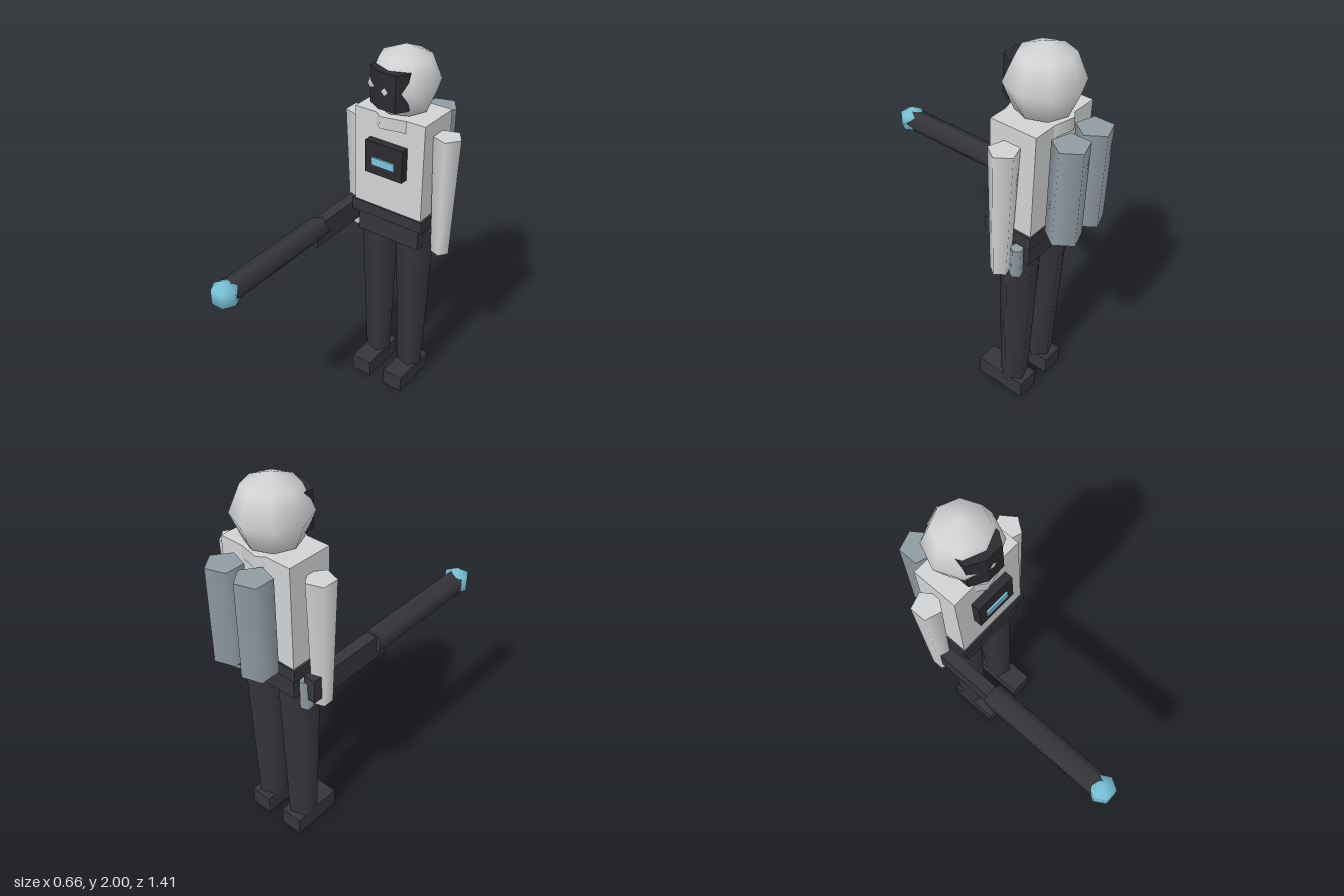
import * as THREE from 'three';

const CX = -0.005, CZ = -0.406;
const material = (name, color) => Object.assign(new THREE.MeshStandardMaterial({ color }), { name });

export function createModel() {
  const root = new THREE.Group();
  root.name = 'armouredFigure';
  const light = material('paleGrey', 0xd0d2d3);
  const steel = material('steelGrey', 0x8f9aa2);
  const dark = material('charcoal', 0x36353b);
  const black = material('nearBlack', 0x2b2b30);
  const glow = material('glowBlue', 0x78c3d9);

  const add = (name, geo, mat, x, y, z) => {
    const mesh = new THREE.Mesh(geo, mat);
    mesh.name = name;
    mesh.position.set(CX + x, y, z);
    root.add(mesh);
    return mesh;
  };
  // box from its vertical and depth limits
  const box = (name, mat, x, w, y0, y1, z0, z1) =>
    add(name, new THREE.BoxGeometry(w, y1 - y0, z1 - z0), mat, x, (y0 + y1) / 2, (z0 + z1) / 2);
  // few-sided column with one corner towards +x
  const column = (name, mat, x, z, rTop, rBottom, y0, y1, sides = 5) =>
    add(name, new THREE.CylinderGeometry(rTop, rBottom, y1 - y0, sides, 1, false, Math.PI / 2),
      mat, x, (y0 + y1) / 2, z);

  // torso, belt and hips
  box('torso', light, 0, 0.406, 1.155, 1.68, -0.526, -0.285);
  box('belt', dark, 0, 0.43, 1.09, 1.155, -0.534, -0.277);
  box('hips', dark, 0, 0.37, 0.965, 1.09, -0.512, -0.298);
  column('collar', light, 0, -0.402, 0.153, 0.153, 1.617, 1.68, 7);

  // chest panel with a lit display
  box('chestPanel', black, 0, 0.22, 1.365, 1.54, -0.29, -0.241);
  box('chestDisplay', glow, 0, 0.135, 1.418, 1.46, -0.241, -0.232);

  // head and visor
  add('head', new THREE.SphereGeometry(0.182, 8, 4), light, 0, 1.82, -0.41);
  const plan = [[-0.113, 0], [0.098, 0], [0.098, 0.122], [0.062, 0.174], [-0.035, 0.174], [-0.113, 0.128]];
  const visorGeo = new THREE.ExtrudeGeometry(
    new THREE.Shape(plan.map(([x, z]) => new THREE.Vector2(x, -z))), { depth: 0.186, bevelEnabled: false });
  visorGeo.rotateX(-Math.PI / 2);
  add('visor', visorGeo, black, 0, 1.727, -0.41);

  // paired parts
  for (const [side, s] of [['left', 1], ['right', -1]]) {
    column(side + 'Arm', light, s * 0.26, CZ, 0.073, 0.05, 0.935, 1.6);
    column(side + 'Leg', dark, s * 0.11, CZ, 0.106, 0.075, 0.09, 1.035);
    box(side + 'Boot', dark, s * 0.11, 0.12, 0, 0.1, -0.5, -0.22);
    column(side + 'BackTank', steel, s * 0.087, -0.622, 0.087, 0.087, 1.145, 1.635);
    column(side + 'HipCanister', steel, s * 0.223, -0.47, 0.034, 0.034, 0.92, 1.075);
  }

  // long tool carried at the right hand
  box('toolBody', dark, -0.26, 0.063, 0.985, 1.11, -0.49, 0.01);
  const barrel = new THREE.CylinderGeometry(0.064, 0.064, 0.7, 5, 1, false, Math.PI / 2);
  barrel.rotateX(Math.PI / 2);
  add('toolBarrel', barrel, dark, -0.26, 1.07, 0.295);
  add('toolTip', new THREE.SphereGeometry(0.077, 6, 3), glow, -0.26, 1.07, 0.648);

  return root;
}
